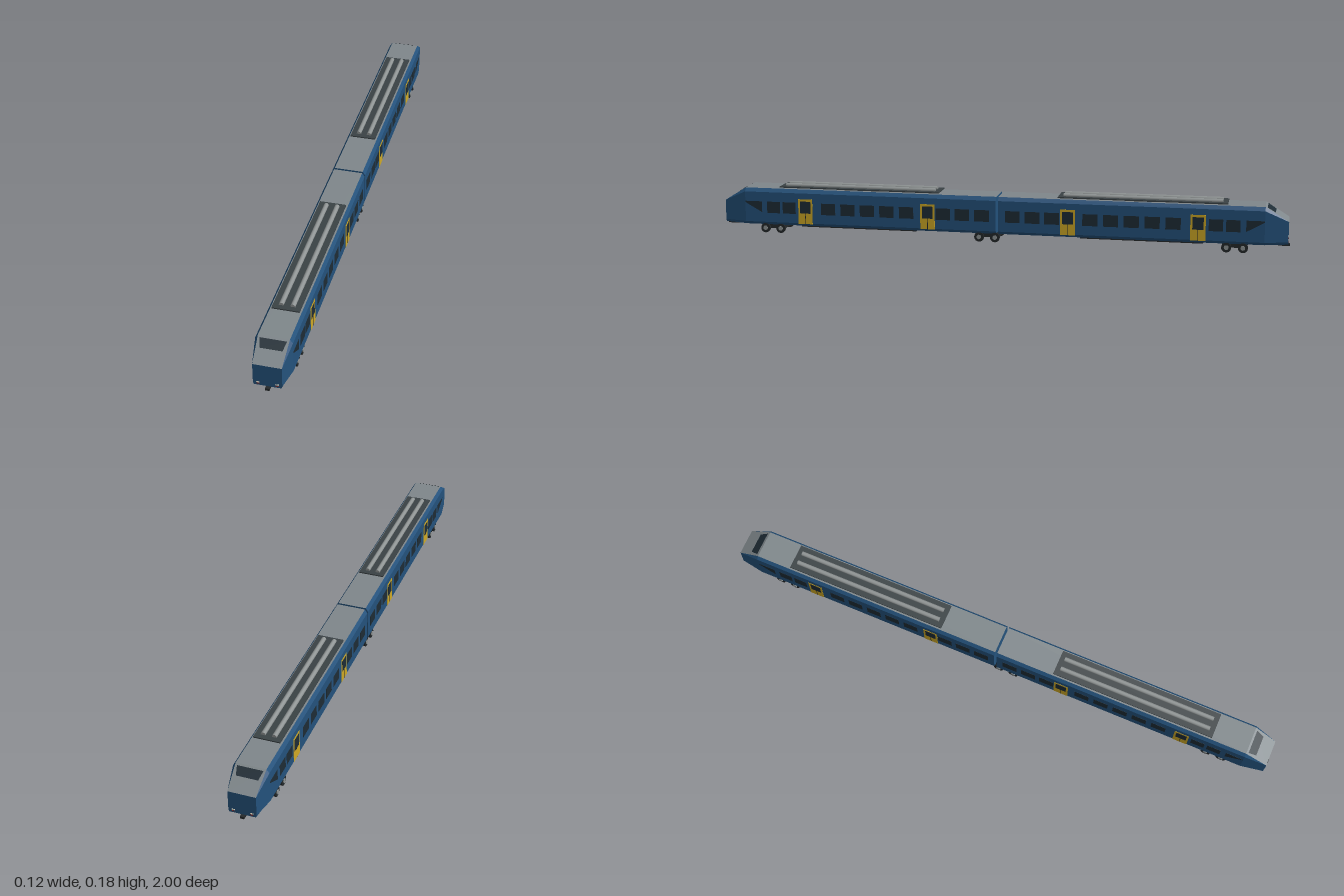
import * as THREE from 'three';

const mat = (color, extra = {}) => new THREE.MeshStandardMaterial({ color, ...extra });

export function createModel() {
  const blue = mat(0x24527c, { flatShading: true });
  const grey = mat(0x7f878b, { flatShading: true });
  const glass = mat(0x1e2c35, { side: THREE.DoubleSide });
  const yellow = mat(0xcfa926);
  const dark = mat(0x24282a);
  const pod = mat(0x3a4245);
  const metal = mat(0x8f9494);
  const white = mat(0xe8e4d0);
  const red = mat(0x8c2a28);

  function add(parent, name, geometry, material, x = 0, y = 0, z = 0) {
    const mesh = new THREE.Mesh(geometry, material);
    mesh.name = name;
    mesh.position.set(x, y, z);
    parent.add(mesh);
    return mesh;
  }
  // Box given by its lower and upper limits in y and z
  const box = (parent, name, m, x, w, y0, y1, z0, z1) =>
    add(parent, name, new THREE.BoxGeometry(w, y1 - y0, z1 - z0), m, x, (y0 + y1) / 2, (z0 + z1) / 2);

  function fromTriangles(points) {
    const g = new THREE.BufferGeometry();
    g.setAttribute('position', new THREE.Float32BufferAttribute(points.flat(), 3));
    g.computeVertexNormals();
    return g;
  }

  // Body cross-sections: right half from bottom to top, mirrored to a closed loop
  const ring = (half, z) => [...half, ...half.map(([x, y]) => [-x, y]).reverse()].map(([x, y]) => [x, y, z]);
  const main = [[0.05, 0.03], [0.059, 0.04], [0.059, 0.148], [0.05, 0.161]];
  const nose = [[0.043, 0.034], [0.046, 0.042], [0.046, 0.112], [0.046, 0.112]];
  const rings = [ring(main, 0.004), ring(main, 0.915), ring(nose, 0.994)];
  const shell = [], roof = [];
  for (let s = 0; s < 2; s++) {
    for (let i = 0; i < 8; i++) {
      const j = (i + 1) % 8, a = rings[s], b = rings[s + 1];
      (i === 3 ? roof : shell).push(a[i], a[j], b[j], a[i], b[j], b[i]);
    }
  }
  for (let i = 1; i < 7; i++) {
    shell.push(rings[2][0], rings[2][i], rings[2][i + 1]);
    shell.push(rings[0][0], rings[0][i + 1], rings[0][i]);
  }
  const shellGeometry = fromTriangles(shell);
  const roofGeometry = fromTriangles(roof);

  // Windscreen lying just above the sloped nose
  const slope = (x, y) => [x, y + 0.0008, 0.9155 + (0.161 - y) / 0.049 * 0.079];
  const [p, q, r, t] = [slope(-0.036, 0.14), slope(0.036, 0.14), slope(0.043, 0.157), slope(-0.043, 0.157)];
  const windscreenGeometry = fromTriangles([p, q, r, p, r, t]);

  // Pointed cab side window
  const cabShape = new THREE.Shape([[0.853, 0.075], [0.853, 0.114], [0.914, 0.114], [0.914, 0.109]]
    .map(([z, y]) => new THREE.Vector2(-z, y)));
  const cabGeometry = new THREE.ExtrudeGeometry(cabShape, { depth: 0.001, bevelEnabled: false });
  cabGeometry.rotateY(Math.PI / 2).translate(-0.0005, 0, 0);

  const wheelGeometry = new THREE.CylinderGeometry(0.017, 0.017, 0.008, 20).rotateZ(Math.PI / 2);
  const hubGeometry = new THREE.CylinderGeometry(0.008, 0.008, 0.004, 12).rotateZ(Math.PI / 2);
  const axleGeometry = new THREE.CylinderGeometry(0.007, 0.007, 0.09, 10).rotateZ(Math.PI / 2);
  const railGeometry = new THREE.CylinderGeometry(0.008, 0.008, 0.545, 12).rotateX(Math.PI / 2);

  function makeBogie(name, z) {
    const bogie = new THREE.Group();
    bogie.name = name;
    bogie.position.z = z;
    box(bogie, 'bogieFrame', dark, 0, 0.084, 0.015, 0.031, -0.042, 0.042);
    for (const dz of [-0.028, 0.028]) {
      add(bogie, 'axle', axleGeometry, dark, 0, 0.017, dz);
      for (const side of [-1, 1]) {
        add(bogie, 'wheel', wheelGeometry, dark, side * 0.049, 0.017, dz);
        add(bogie, 'wheelHub', hubGeometry, metal, side * 0.0535, 0.017, dz);
      }
    }
    return bogie;
  }

  const windowCentres = [0.81, 0.752, 0.608, 0.537, 0.466, 0.395, 0.324, 0.192, 0.124, 0.054];

  function makeCar(name) {
    const car = new THREE.Group();
    car.name = name;
    add(car, 'bodyShell', shellGeometry, blue);
    add(car, 'roof', roofGeometry, grey);
    add(car, 'windscreen', windscreenGeometry, glass);

    // Roof equipment
    box(car, 'roofSupport', pod, 0, 0.072, 0.16, 0.165, 0.44, 0.56);
    box(car, 'roofPlate', pod, 0, 0.09, 0.1635, 0.1675, 0.21, 0.79);

    for (const side of [-1, 1]) {
      const x = side * 0.059;
      add(car, 'roofRail', railGeometry, metal, side * 0.0185, 0.169, 0.5);
      add(car, 'cabWindow', cabGeometry, glass, x, 0, 0);
      windowCentres.forEach((z, i) => {
        const half = i < 2 ? 0.024 : 0.026;
        box(car, 'sideWindow', glass, x, 0.001, 0.073, 0.114, z - half, z + half);
      });
      // Doors with a window and a centre seam
      for (const z of [0.247, 0.692]) {
        box(car, 'door', yellow, x, 0.0016, 0.038, 0.127, z - 0.026, z + 0.026);
        box(car, 'doorWindow', glass, x, 0.0024, 0.076, 0.119, z - 0.019, z + 0.019);
        box(car, 'doorSeam', dark, x, 0.0022, 0.038, 0.076, z - 0.001, z + 0.001);
      }
      // Lamps
      box(car, 'headlight', white, side * 0.03, 0.011, 0.0435, 0.0475, 0.992, 0.995);
      box(car, 'tailLight', red, side * 0.03, 0.009, 0.0385, 0.0415, 0.992, 0.995);
    }

    // Underside
    box(car, 'underframe', dark, 0, 0.098, 0.026, 0.032, 0.29, 0.71);
    box(car, 'endCoupler', dark, 0, 0.014, 0.021, 0.029, 0.96, 1.0);
    box(car, 'couplerMount', dark, 0, 0.02, 0.025, 0.033, 0.94, 0.97);
    car.add(makeBogie('endBogie', 0.816));
    return car;
  }

  const train = new THREE.Group();
  train.name = 'train';
  const rear = makeCar('rearCar');
  rear.rotation.y = Math.PI;
  train.add(makeCar('frontCar'), rear, makeBogie('middleBogie', 0.037));
  box(train, 'middleCoupler', dark, 0, 0.03, 0.03, 0.038, -0.03, 0.03);
  return train;
}
